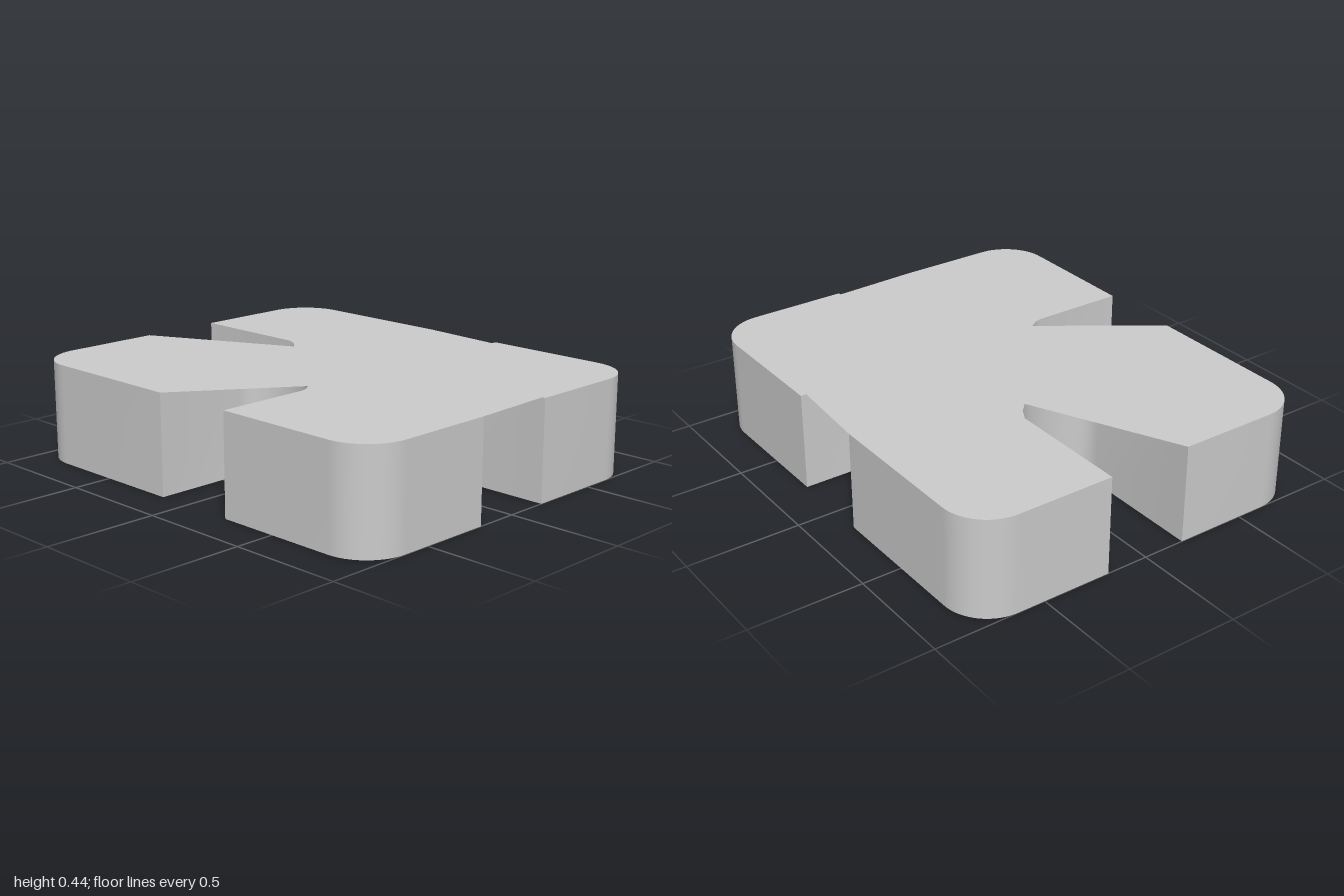
import * as THREE from 'three';
import { toCreasedNormals } from 'three/addons/utils/BufferGeometryUtils.js';

const H = 0.44, W = 1, D = 0.825, R = 0.2;
const material = new THREE.MeshStandardMaterial({ color: 0xcccccc, side: THREE.DoubleSide });

// Rounded rectangle in plan (shape y is -z); each side's notch is drawn by its own function
function outline(front, right, back, left) {
  const s = new THREE.Shape(), x = W - R, y = D - R, q = Math.PI / 2;
  s.moveTo(-x, -D);
  front(s);
  s.absarc(x, -y, R, -q, 0);
  right(s);
  s.absarc(x, y, R, 0, q);
  back(s);
  s.absarc(-x, y, R, q, 2 * q);
  left(s);
  s.absarc(-x, -y, R, 2 * q, 3 * q);
  return s;
}

// Straight-sided slot from mouth point a to b, running inwards by (dx, dy) to a rounded end
const slot = (a, b, dx, dy) => (s) => {
  const bulge = 0.16, l = Math.hypot(dx, dy), ex = dx + dx / l * bulge, ey = dy + dy / l * bulge;
  s.lineTo(a[0], a[1]);
  s.lineTo(a[0] + dx, a[1] + dy);
  s.bezierCurveTo(a[0] + ex, a[1] + ey, b[0] + ex, b[1] + ey, b[0] + dx, b[1] + dy);
  s.lineTo(b[0], b[1]);
};

// Notch following a few straight points
const notch = (...pts) => (s) => pts.forEach(([x, y]) => s.lineTo(x, y));

// Upright open band along an outline, smooth on curves and sharp at corners
function wallGeometry(shape) {
  const pts = shape.extractPoints(12).shape;
  const pos = [], index = [], n = pts.length;
  pts.forEach((p, i) => {
    pos.push(p.x, 0, -p.y, p.x, H, -p.y);
    const a = 2 * i, b = 2 * ((i + 1) % n);
    index.push(a, b, b + 1, a, b + 1, a + 1);
  });
  const g = new THREE.BufferGeometry();
  g.setAttribute('position', new THREE.Float32BufferAttribute(pos, 3));
  g.setIndex(index);
  return toCreasedNormals(g, 0.7);
}

export function createModel() {
  const group = new THREE.Group();
  group.name = 'slottedBlock';
  const x0 = -0.145, x1 = 0.235, z = 0.19;

  // Side wall with four round-ended slots, open underneath
  const walls = new THREE.Mesh(wallGeometry(outline(
    slot([x0, -D], [x1, -D], 0, D - 0.4),
    slot([W, -z], [W, z], -(W - 0.47), 0),
    slot([x1, D], [x0, D], 0, -(D - 0.41)),
    slot([-W, z], [-W, -z], W - 0.45, 0),
  )), material);
  walls.name = 'sideWalls';

  // Top plate, which bridges most of each slot
  const plate = new THREE.ShapeGeometry(outline(
    notch([x0, -D], [0.2, -0.335], [0.225, -0.37], [x1, -0.405], [x1, -D]),
    notch([W, -z], [0.985, z], [W, z]),
    notch([x1, D], [x1, 0.8], [x0, D]),
    notch([-W, z], [-0.45, z], [-0.395, 0.16], [-0.355, 0.12], [-W, -z]),
  ), 12);
  plate.rotateX(-Math.PI / 2).translate(0, H, 0);
  const top = new THREE.Mesh(plate, material);
  top.name = 'topPlate';

  group.add(walls, top);
  return group;
}
